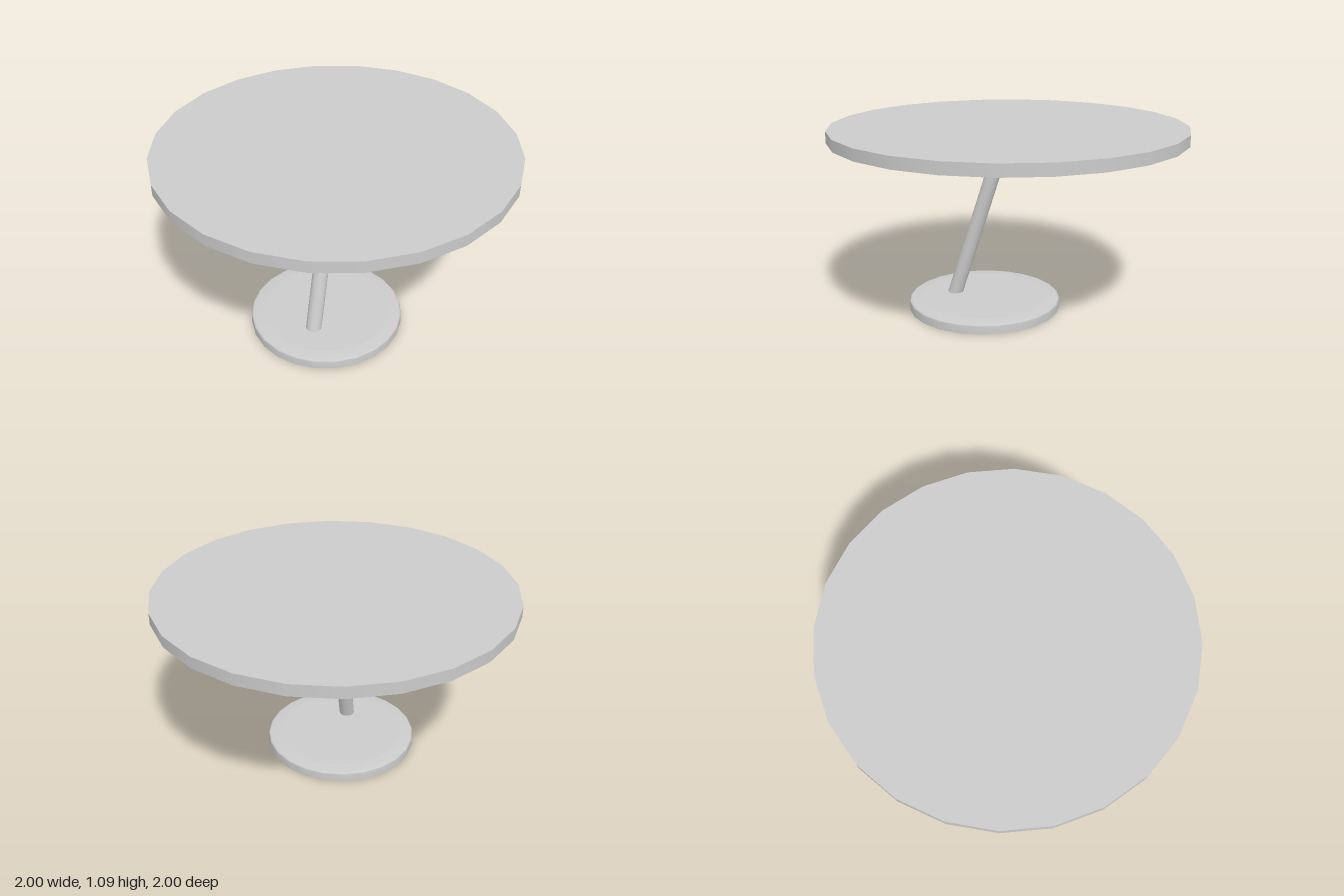
import * as THREE from 'three';

const SIDES = 24;
const TOP_Y = 1.09, TOP_DEPTH = 0.065;
const BASE_Y = 0.062, BASE_Z = 0.15, POLE_Z = 0.335, POLE_R = 0.045;

const material = new THREE.MeshStandardMaterial({ color: 0xcccccc, side: THREE.DoubleSide });

function addPart(parent, name, geometry, x = 0, y = 0, z = 0) {
  const mesh = new THREE.Mesh(geometry, material);
  mesh.name = name;
  mesh.position.set(x, y, z);
  parent.add(mesh);
}

// Points of a regular polygon around (0, cy)
function ring(radius, cy = 0) {
  return Array.from({ length: SIDES }, (_, i) => {
    const a = (i / SIDES) * Math.PI * 2;
    return new THREE.Vector2(Math.cos(a) * radius, cy + Math.sin(a) * radius);
  });
}

// Flat disc facing up
function disc(radius, hole) {
  const shape = new THREE.Shape(ring(radius));
  if (hole) shape.holes.push(new THREE.Path(hole));
  return new THREE.ShapeGeometry(shape).rotateX(-Math.PI / 2);
}

export function createModel() {
  const model = new THREE.Group();
  model.name = 'pedestalTable';

  // Tabletop: a shell, open underneath
  const tabletop = new THREE.Group();
  tabletop.name = 'tabletop';
  model.add(tabletop);
  addPart(tabletop, 'tabletopSurface', disc(1), 0, TOP_Y, 0);
  addPart(tabletop, 'tabletopEdge',
    new THREE.CylinderGeometry(1, 1, TOP_DEPTH, SIDES, 1, true), 0, TOP_Y - TOP_DEPTH / 2, 0);

  // Slanted hollow pole, sheared so both ends stay level
  const height = TOP_Y - BASE_Y;
  const pole = new THREE.CylinderGeometry(POLE_R, POLE_R, height, SIDES, 1, true);
  const shear = new THREE.Matrix4().set(
    1, 0, 0, 0,
    0, 1, 0, 0,
    0, -POLE_Z / height, 1, POLE_Z / 2,
    0, 0, 0, 1);
  pole.applyMatrix4(shear);
  addPart(model, 'pole', pole, 0, BASE_Y + height / 2, 0);

  // Foot: a shell with a softened rim, open underneath, pierced where the pole meets it
  const foot = new THREE.Group();
  foot.name = 'foot';
  foot.position.z = BASE_Z;
  model.add(foot);
  const rim = [[0.445, 0], [0.445, 0.045], [0.441, 0.052], [0.432, 0.057], [0.37, BASE_Y]];
  addPart(foot, 'footRim',
    new THREE.LatheGeometry(rim.map(([r, y]) => new THREE.Vector2(r, y)), SIDES));
  addPart(foot, 'footSurface', disc(0.37, ring(POLE_R, BASE_Z - POLE_Z)), 0, BASE_Y, 0);

  return model;
}
